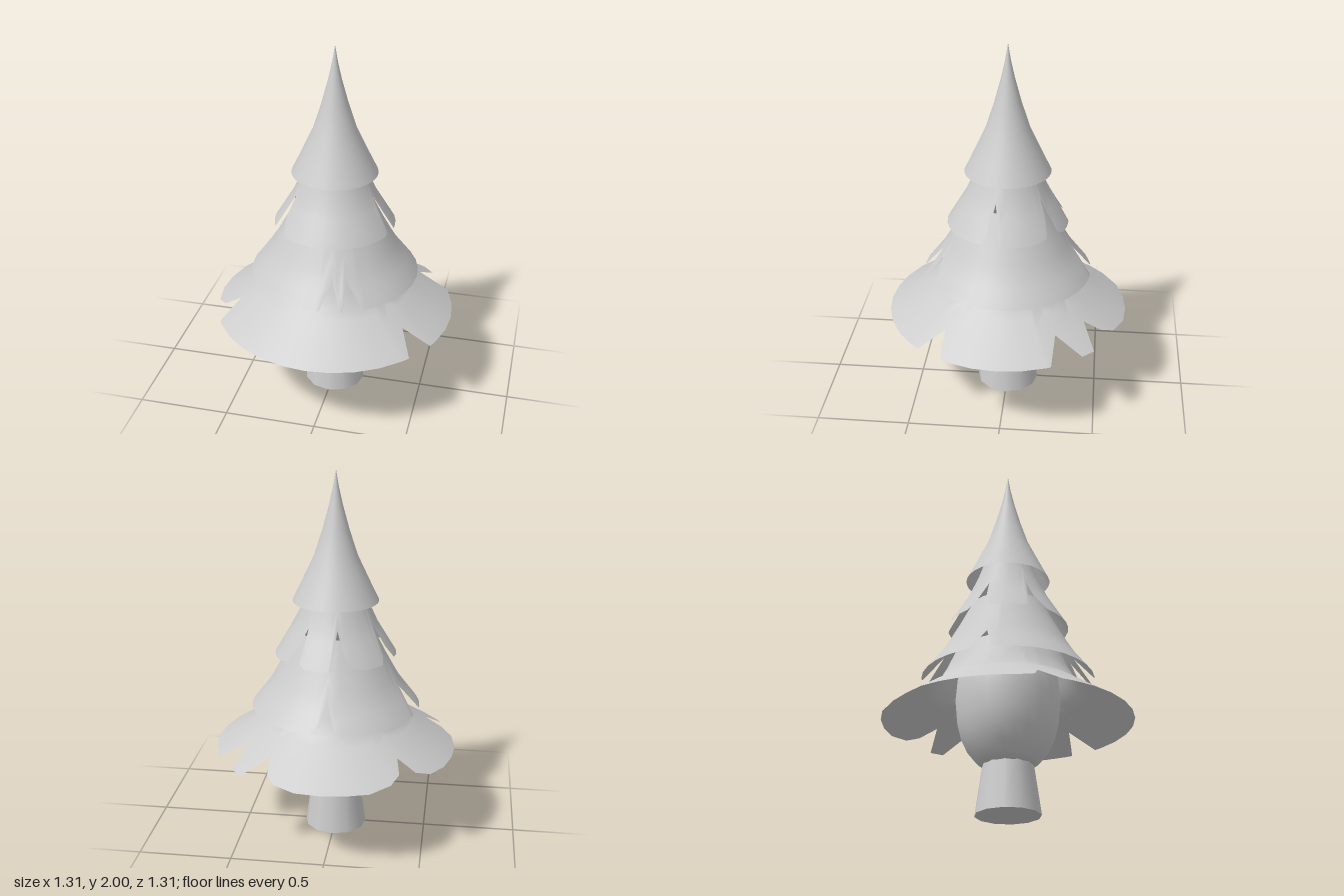
import * as THREE from 'three';

const material = new THREE.MeshStandardMaterial({ color: 0xcccccc, side: THREE.DoubleSide });

// Height on a skirt profile ([radius, y] pairs, radius growing) at radius r
function heightAt(profile, r) {
  let i = 1;
  while (i < profile.length - 1 && profile[i][0] < r) i++;
  const [r0, y0] = profile[i - 1], [r1, y1] = profile[i];
  return y0 + (y1 - y0) * (r - r0) / (r1 - r0);
}

// Hollow flared skirt; each notch is a run of [degrees, radius] points cut into the rim
function skirtGeometry(profile, notches, segments = 32, rows = 8) {
  const top = profile[0][0], rim = profile[profile.length - 1][0];
  const columns = notches.flat();
  for (let i = 0; i < segments; i++) {
    const deg = -180 + i * 360 / segments;
    const cut = notches.some(n => deg > n[0][0] - 2 && deg < n[n.length - 1][0] + 2);
    if (!cut) columns.push([deg, rim]);
  }
  columns.sort((a, b) => a[0] - b[0]);

  const positions = [], index = [], w = rows + 1;
  columns.forEach(([deg, end], c) => {
    const a = THREE.MathUtils.degToRad(deg);
    const next = (c + 1) % columns.length;
    for (let k = 0; k <= rows; k++) {
      const r = top + (end - top) * k / rows;
      positions.push(r * Math.cos(a), heightAt(profile, r), r * Math.sin(a));
      if (k < rows) {
        const p = c * w + k, q = next * w + k;
        index.push(p, q, q + 1, p, q + 1, p + 1);
      }
    }
  });
  const g = new THREE.BufferGeometry();
  g.setAttribute('position', new THREE.Float32BufferAttribute(positions, 3));
  g.setIndex(index);
  g.computeVertexNormals();
  return g;
}

const lathe = (points, segments) =>
  new THREE.LatheGeometry(points.map(p => new THREE.Vector2(...p)), segments);

export function createModel() {
  const group = new THREE.Group();
  const add = (name, geometry) => {
    const mesh = new THREE.Mesh(geometry, material);
    mesh.name = name;
    group.add(mesh);
    return mesh;
  };

  // Tapered trunk
  add('trunk', new THREE.CylinderGeometry(0.13, 0.17, 0.28, 12)).position.y = 0.14;

  // Rounded core of the crown
  add('crownCore', lathe([
    [0, 0.255], [0.13, 0.255], [0.165, 0.28], [0.21, 0.335], [0.245, 0.41],
    [0.265, 0.49], [0.275, 0.6], [0.265, 0.72], [0.22, 0.86], [0.13, 0.96], [0, 1]
  ], 24));

  // Branch skirts, lowest first
  add('lowerBranches', skirtGeometry(
    [[0.28, 0.87], [0.345, 0.72], [0.37, 0.68], [0.5, 0.59], [0.655, 0.49]],
    [
      [[-146.8, 0.645], [-139.7, 0.61], [-135.3, 0.516], [-130.4, 0.593], [-123.6, 0.631]],
      [[-67.5, 0.637], [-61.5, 0.598], [-56, 0.518], [-48.5, 0.655],
        [-41.3, 0.652], [-33.4, 0.519], [-24.8, 0.655]],
      [[26.8, 0.655], [33.7, 0.521], [40.9, 0.655]],
      [[150, 0.655], [157.4, 0.523], [161.1, 0.611], [168.4, 0.648]]
    ]));

  add('middleBranches', skirtGeometry(
    [[0.2, 1.15], [0.265, 1.02], [0.35, 0.865], [0.456, 0.725]],
    [
      [[-176.9, 0.456], [-169.6, 0.351], [-162.3, 0.453]],
      [[-96.3, 0.452], [-90, 0.344], [-84.2, 0.452]],
      [[59.3, 0.455], [67.8, 0.354], [71.6, 0.456], [74.8, 0.456], [79, 0.352], [87.4, 0.456]]
    ]));

  add('upperBranches', skirtGeometry(
    [[0.12, 1.45], [0.165, 1.32], [0.22, 1.195], [0.325, 1.02]],
    [
      [[-169.3, 0.323], [-163.4, 0.283], [-159.5, 0.215], [-152, 0.303], [-149.4, 0.311]],
      [[-112.3, 0.316], [-106, 0.28], [-99.5, 0.215], [-92.5, 0.321]],
      [[-60.3, 0.313], [-57, 0.215], [-51.3, 0.271], [-44.5, 0.317]],
      [[3.7, 0.325], [11.5, 0.213], [17.2, 0.321]],
      [[133.7, 0.322], [142.8, 0.274], [146, 0.215], [153.4, 0.323]]
    ]));

  // Pointed, uncut tip
  add('treeTop', lathe([
    [0.229, 1.31], [0.19, 1.39], [0.115, 1.55], [0.07, 1.69], [0.035, 1.82], [0.015, 1.91], [0, 2]
  ], 32));

  return group;
}
